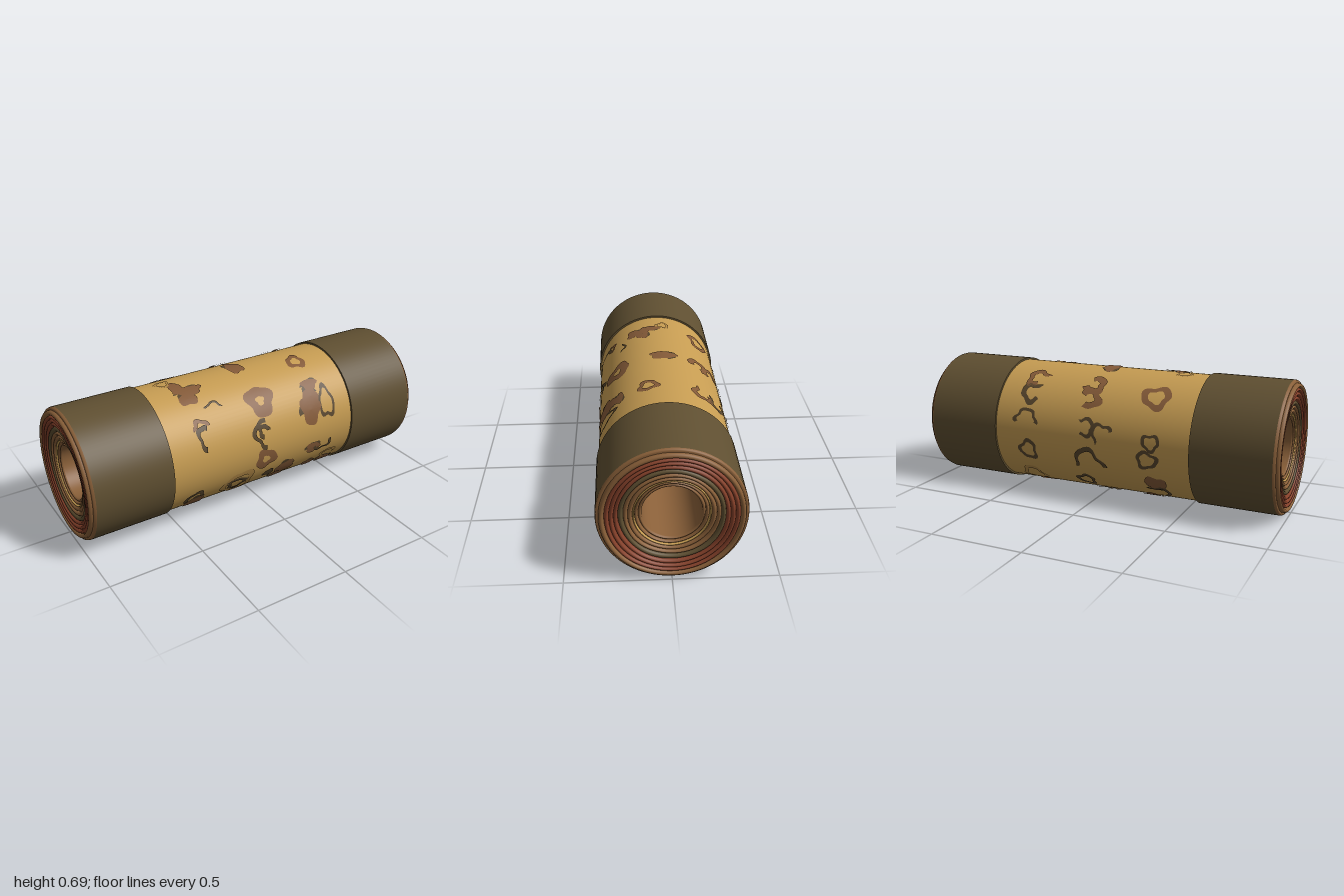
import * as THREE from 'three';

const AXIS_Y = 0.344;   // height of the tube's axis
const BODY_R = 0.334;
const BAND_R = 0.344;

const material = (name, color, side = THREE.FrontSide) => {
  const m = new THREE.MeshStandardMaterial({ color, side });
  m.name = name;
  return m;
};

export function createModel() {
  const tan = material('tan', 0xc69c52);
  const olive = material('olive', 0x5f4f31);
  const brown = material('brown', 0x8a6039);
  const red = material('rustRed', 0x86412a);
  const markBrown = material('markBrown', 0x845a38, THREE.DoubleSide);
  const markDark = material('markDark', 0x57452c, THREE.DoubleSide);
  const markTan = material('markTan', 0xb48a48, THREE.DoubleSide);

  const model = new THREE.Group();
  model.name = 'rolledTube';

  // Revolves [radius, x] points about the x axis
  function revolve(points, wobble = 0) {
    const g = new THREE.LatheGeometry(points.map(([r, x]) => new THREE.Vector2(r, x)), 96);
    if (wobble) {
      const p = g.attributes.position;
      for (let i = 0; i < p.count; i++) {
        const x = p.getX(i), z = p.getZ(i), r = Math.hypot(x, z), a = Math.atan2(x, z);
        // fades out towards the bore and the rim
        const fade = Math.max(0, Math.sin(Math.PI * (r - 0.135) / 0.19));
        const k = 1 + wobble * fade * (Math.sin(2 * a + r * 40) + 0.5 * Math.sin(5 * a - r * 70)) / r;
        p.setXYZ(i, x * k, p.getY(i), z * k);
      }
    }
    return g.rotateZ(-Math.PI / 2);
  }

  function add(parent, name, geometry, mat) {
    const mesh = new THREE.Mesh(geometry, mat);
    mesh.name = name;
    parent.add(mesh);
    return mesh;
  }

  const tube = new THREE.Group();
  tube.name = 'tube';
  tube.position.y = AXIS_Y;
  model.add(tube);

  add(tube, 'body', revolve([[BODY_R, -0.57], [BODY_R, 0.57]]), tan);
  add(tube, 'bore', revolve([[0.136, 0.95], [0.136, -0.95]]), brown);

  // Rolled layers on the end face: [outer radius, inner radius, x of lip, material]
  const layers = [
    [0.329, 0.304, 1.000, brown],
    [0.304, 0.284, 0.997, red],
    [0.284, 0.263, 0.994, red],
    [0.263, 0.242, 0.990, red],
    [0.242, 0.218, 0.985, olive],
    [0.218, 0.198, 0.980, brown],
    [0.198, 0.177, 0.975, brown],
    [0.177, 0.168, 0.969, tan],
    [0.168, 0.152, 0.964, brown],
    [0.152, 0.136, 0.958, brown],
  ];

  for (const side of [1, -1]) {
    const end = new THREE.Group();
    end.name = side > 0 ? 'leftEnd' : 'rightEnd';
    end.rotation.y = side > 0 ? 0 : Math.PI;
    tube.add(end);

    // Wide dark sleeve, with a step at its inner edge
    add(end, 'bandStep', revolve([[0.33, 0.555], [BAND_R, 0.555]]), olive);
    add(end, 'band', revolve([[BAND_R, 0.555], [BAND_R, 0.968]]), olive);
    add(end, 'bandRim', revolve([[BAND_R, 0.968], [0.341, 0.978], [0.336, 0.981], [0.326, 0.981]]), brown);

    // Rounded lips of the rolled sheets, stepping in towards the bore
    layers.forEach(([outer, inner, x, mat], n) => {
      const points = [];
      for (let i = 0; i <= 8; i++) {
        const a = Math.PI * i / 8;
        points.push([
          (outer + inner) / 2 + Math.cos(a) * (outer - inner) / 2,
          x - 0.018 + 0.018 * Math.sin(a),
        ]);
      }
      // walls that close the gaps between neighbouring lips
      points.unshift([outer, x - 0.028]);
      points.push([inner, x - 0.028]);
      add(end, 'rolledLayer' + (n + 1), revolve(points, 0.0022), mat);
    });
  }

  // Curved patch wrapped on the body: a disc, ring or arc with an uneven edge
  const marks = new THREE.Group();
  marks.name = 'paintedMarks';
  tube.add(marks);
  let seed = 0;
  function mark(x0, degrees, rx, ry, hole, mat, start = 0, sweep = 360, lift = 0.004) {
    seed += 1.7;
    const rad = Math.PI / 180;
    const g = new THREE.RingGeometry(Math.max(hole, 0.01), 1, 36, 3, start * rad, sweep * rad);
    const p = g.attributes.position;
    for (let i = 0; i < p.count; i++) {
      const u = p.getX(i), v = p.getY(i), a = Math.atan2(v, u);
      const k = 1 + 0.13 * Math.sin(3 * a + seed) + 0.08 * Math.sin(5 * a + 2 * seed);
      const phi = degrees * rad + v * k * ry / BODY_R;
      const r = BODY_R + lift;
      p.setXYZ(i, x0 + u * k * rx, r * Math.sin(phi), r * Math.cos(phi));
    }
    g.computeVertexNormals();
    add(marks, 'mark', g, mat);
  }

  // Solid blotches: x, angle up from the front, half width, half height
  const blotches = [
    [-0.36, 66, 0.05, 0.04], [0.29, 25, 0.06, 0.08], [0.31, 37, 0.05, 0.05],
    [0.30, -14, 0.045, 0.035], [0.14, -30, 0.06, 0.05], [0.10, -43, 0.045, 0.04],
    [-0.41, -42, 0.055, 0.06], [0.43, -43, 0.05, 0.05], [0.32, -41, 0.04, 0.04],
    [0, 92, 0.045, 0.07], [-0.33, 75, 0.075, 0.035], [-0.38, 84, 0.035, 0.045],
    [0.33, 48, 0.05, 0.03], [-0.36, 215, 0.06, 0.05], [-0.30, 245, 0.05, 0.06],
    [0.38, 262, 0.06, 0.05], [0.05, 270, 0.06, 0.06], [-0.4, 275, 0.05, 0.05],
  ];
  for (const [x, a, w, h] of blotches) {
    mark(x, a, w * 1.08, h * 1.08, 0, markDark, 20, 170, 0.003);
    mark(x, a, w, h, 0, markBrown, 0, 360, 0.005);
  }

  // Rings: x, angle, half width, half height, hole share, material
  const rings = [
    [0.01, 46, 0.08, 0.085, 0.3, markBrown], [-0.01, -9, 0.065, 0.06, 0.35, markBrown],
    [0.40, 28, 0.05, 0.09, 0.72, markDark], [-0.16, -32, 0.095, 0.10, 0.66, markTan],
    [-0.17, -31, 0.06, 0.05, 0.55, markDark], [-0.34, 133, 0.08, 0.07, 0.55, markBrown],
    [0.34, 76, 0.055, 0.055, 0.5, markBrown], [-0.42, 95, 0.04, 0.04, 0.6, markTan],
    [0.36, 195, 0.055, 0.06, 0.65, markDark], [-0.35, 174, 0.05, 0.045, 0.65, markDark],
    [-0.33, 190, 0.06, 0.05, 0.65, markDark], [0.38, 228, 0.07, 0.07, 0.65, markTan],
    [0.05, 225, 0.055, 0.05, 0.6, markDark], [0.24, 285, 0.06, 0.06, 0.5, markDark],
    [-0.14, 290, 0.06, 0.06, 0.5, markBrown],
  ];
  for (const [x, a, w, h, hole, mat] of rings) mark(x, a, w, h, hole, mat);

  // Hooks and strokes: as rings, then start angle and sweep
  const hooks = [
    [-0.35, 28, 0.045, 0.07, 0.6, markDark, 60, 200], [-0.36, 38, 0.05, 0.04, 0.5, markBrown, 0, 200],
    [-0.26, 50, 0.06, 0.04, 0.75, markDark, 10, 140], [-0.01, 17, 0.07, 0.085, 0.7, markDark, 80, 190],
    [-0.02, 19, 0.035, 0.04, 0.4, markDark, 0, 260], [0.36, -11, 0.06, 0.05, 0.7, markDark, 200, 180],
    [0.03, -30, 0.035, 0.03, 0, markDark, 0, 360], [0.02, 141, 0.07, 0.06, 0.4, markBrown, 60, 270],
    [0.02, 126, 0.07, 0.06, 0.4, markBrown, 20, 270], [0.36, 141, 0.07, 0.06, 0.55, markDark, 230, 270],
    [0.36, 124, 0.07, 0.06, 0.5, markBrown, 200, 260], [0.37, 165, 0.07, 0.05, 0.7, markDark, 150, 240],
    [0.02, 167, 0.06, 0.05, 0.65, markDark, 60, 250], [-0.08, 172, 0.06, 0.06, 0.7, markDark, 200, 220],
    [0.0, 203, 0.09, 0.10, 0.75, markDark, 180, 190], [0.0, 248, 0.08, 0.08, 0.7, markDark, 30, 200],
    [-0.36, 230, 0.07, 0.06, 0.7, markDark, 120, 200], [-0.42, -31, 0.06, 0.05, 0.6, markDark, 0, 220],
    [0.43, -31, 0.05, 0.05, 0.6, markTan, 0, 240],
  ];
  for (const [x, a, w, h, hole, mat, s, sweep] of hooks) mark(x, a, w, h, hole, mat, s, sweep, 0.006);

  return model;
}
